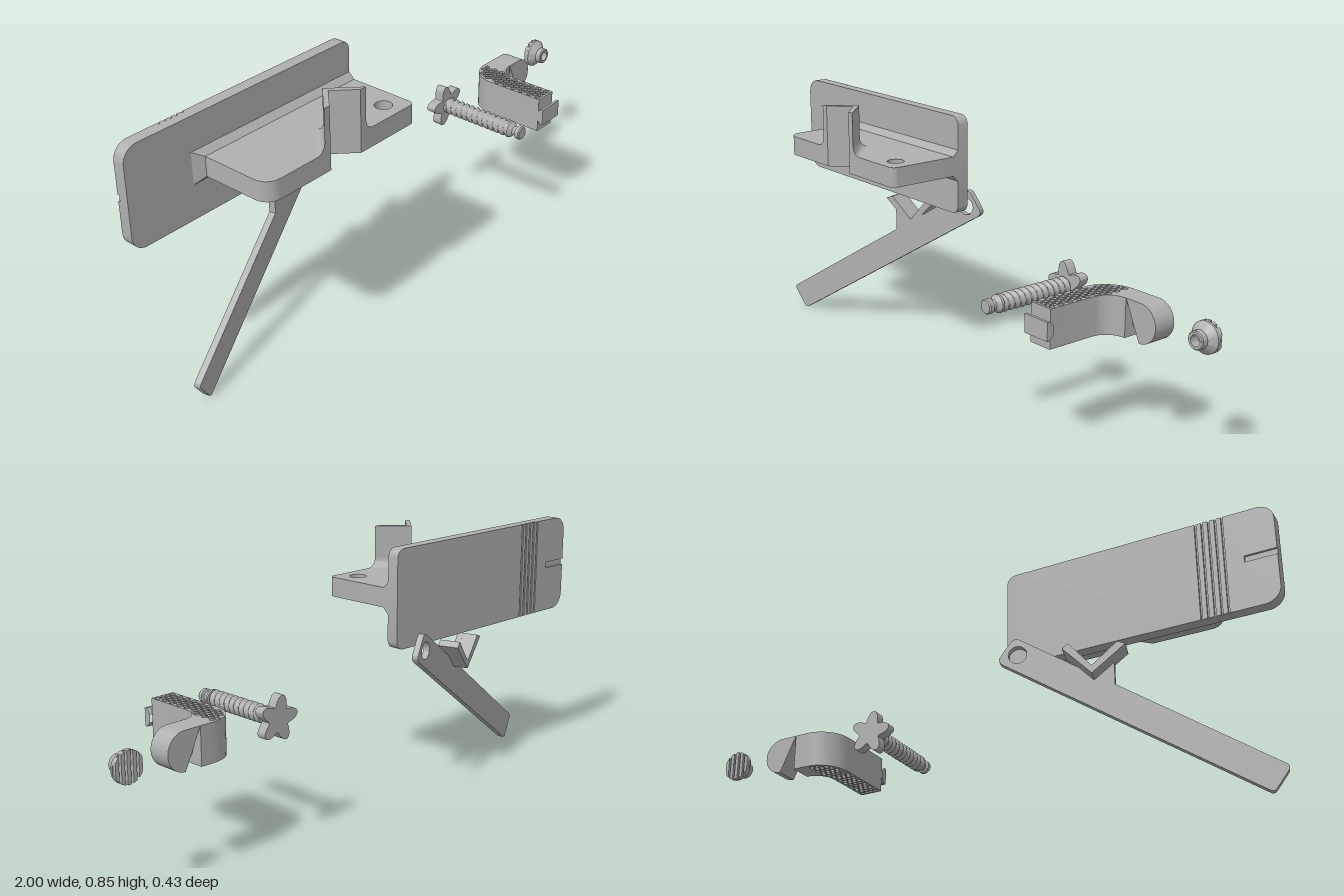
import * as THREE from 'three';
import { toCreasedNormals } from 'three/addons/utils/BufferGeometryUtils.js';

const grey = new THREE.MeshStandardMaterial({ color: 0xb0b0b0 });
grey.name = 'greyPlastic';

function part(parent, name, geometry) {
  const mesh = new THREE.Mesh(geometry, grey);
  mesh.name = name;
  parent.add(mesh);
  return mesh;
}

// Closed outline from [x, y, cornerRadius] points
function outline(points) {
  const shape = new THREE.Shape();
  const n = points.length;
  points.forEach(([x, y, r = 0], i) => {
    const p = new THREE.Vector2(x, y);
    const toward = (q, d) => p.clone().add(new THREE.Vector2(q[0] - x, q[1] - y).setLength(d));
    const prev = points[(i + n - 1) % n], next = points[(i + 1) % n];
    const a = r ? toward(prev, r) : p;
    if (i === 0) shape.moveTo(a.x, a.y); else shape.lineTo(a.x, a.y);
    if (r) {
      const b = toward(next, r), c = toward(prev, r * 0.448), d = toward(next, r * 0.448);
      shape.bezierCurveTo(c.x, c.y, d.x, d.y, b.x, b.y);
    }
  });
  shape.closePath();
  return shape;
}

function circleHole(x, y, r) {
  return new THREE.Path().absarc(x, y, r, 0, Math.PI * 2, true);
}

// Extrude along z from z0 to z1
function extrudeZ(shape, z0, z1) {
  const g = new THREE.ExtrudeGeometry(shape, { depth: z1 - z0, bevelEnabled: false, curveSegments: 10 });
  return toCreasedNormals(g.translate(0, 0, z0), 0.6);
}

// Extrude upward from y0 to y1; the outline is drawn in (x, -z)
function extrudeY(shape, y0, y1) {
  return extrudeZ(shape, y0, y1).rotateX(-Math.PI / 2);
}

// Turned part along z from [radius, z] points
function turned(profile) {
  const g = new THREE.LatheGeometry(profile.map(([r, z]) => new THREE.Vector2(r, z)), 32);
  return toCreasedNormals(g.rotateX(Math.PI / 2), 0.5);
}

// Side walls between successive closed rings
function loft(rings) {
  const pos = [];
  for (let k = 0; k + 1 < rings.length; k++) {
    const lo = rings[k], hi = rings[k + 1], n = lo.length;
    for (let i = 0; i < n; i++) {
      const j = (i + 1) % n;
      pos.push(...lo[i], ...lo[j], ...hi[j], ...lo[i], ...hi[j], ...hi[i]);
    }
  }
  const g = new THREE.BufferGeometry();
  g.setAttribute('position', new THREE.Float32BufferAttribute(pos, 3));
  g.computeVertexNormals();
  return toCreasedNormals(g, 0.5);
}

function makeHolder() {
  const g = new THREE.Group();
  g.name = 'plateHolder';
  const L = -1, R = -0.113, B = 0.515, T = 0.843;
  part(g, 'plate', extrudeZ(outline([[L, B, 0.05], [R, B, 0.03], [R, T, 0.03], [L, T, 0.05]]), -0.131, -0.098));

  // Back skin, split so that five grooves and an end slot remain
  const back = (name, pts) => part(g, name, extrudeZ(outline(pts), -0.138, -0.131));
  const pitch = 0.021, first = -0.757, w = 0.003;
  back('backFace', [[first + w, B], [R, B, 0.03], [R, T, 0.03], [first + w, T]]);
  for (let i = 0; i < 4; i++) {
    const x1 = first - i * pitch - w, x0 = x1 - pitch + 2 * w;
    back('backRib', [[x0, B], [x1, B], [x1, T], [x0, T]]);
  }
  const e = first - 4 * pitch - w;
  back('backEnd', [[L, B, 0.05], [e, B], [e, T], [L, T, 0.05], [L, 0.69], [-0.9, 0.69], [-0.9, 0.669], [L, 0.669]]);

  // Shelf with V notch and bolt hole
  const F = -0.165, cx = -0.42;
  const notch = [[cx - 0.064, F], [cx, F + 0.064], [cx + 0.064, F]];
  const shelf = outline([[-0.735, 0.1], [-0.735, F, 0.05], ...notch, [R, F, 0.02], [R, 0.1]]);
  shelf.holes.push(circleHole(-0.184, -0.102, 0.028));
  part(g, 'shelf', extrudeY(shelf, 0.648, 0.713));

  // Chamfered joint between shelf and plate
  const rect = (x0, y0, y1, z) => [[x0, y0, z], [R, y0, z], [R, y1, z], [x0, y1, z]];
  part(g, 'shelfChamfer', loft([rect(-0.772, 0.626, 0.735, -0.1), rect(-0.735, 0.648, 0.713, -0.078)]));

  // V-shaped post with a flared foot
  const vee = (o) => [[cx - 0.087 - o, F], ...notch, [cx + 0.087 + o, F], [cx, F + 0.087 + o]];
  part(g, 'veePost', extrudeY(outline(vee(0)), 0.705, 0.854));
  const rings = [];
  for (let i = 0; i <= 6; i++) {
    const a = (i / 6) * Math.PI / 2, r = 0.032;
    rings.push(vee(r * (1 - Math.sin(a))).map(([x, v]) => [x, 0.713 + r * (1 - Math.cos(a)), -v]));
  }
  part(g, 'postFillet', loft(rings));
  return g;
}

function makeLever() {
  const g = new THREE.Group();
  g.name = 'lever';
  const angle = 0.287, x0 = -0.93;
  // Outlines are given in frontal x and stretched into the turned plane
  const flat = (pts) => outline(pts.map(([x, y, r]) => [(x - x0) / Math.cos(angle), y, r]));
  const bar = flat([[-0.93, 0.076, 0.015], [-0.878, 0, 0.012], [-0.112, 0.497, 0.02], [-0.165, 0.577, 0.02]]);
  bar.holes.push(circleHole((-0.175 - x0) / Math.cos(angle), 0.515, 0.029));
  part(g, 'leverBar', extrudeZ(bar, -0.021, 0));
  part(g, 'jawWeb', extrudeZ(flat([[-0.46, 0.37], [-0.39, 0.415], [-0.40, 0.428], [-0.46, 0.488]]), -0.021, 0));
  // V jaw standing out behind the bar
  part(g, 'veeJaw', extrudeZ(flat([
    [-0.40, 0.404], [-0.315, 0.495], [-0.333, 0.511], [-0.40, 0.43], [-0.475, 0.502], [-0.5, 0.492],
  ]), -0.07, 0));
  g.position.set(x0, 0, 0.042);
  g.rotation.y = angle;
  return g;
}

function makeKnobScrew() {
  const g = new THREE.Group();
  g.name = 'knobScrew';
  const star = [];
  for (let i = 0; i < 80; i++) {
    const t = (i / 80) * Math.PI * 2;
    const r = 0.04 + 0.034 * Math.pow((1 + Math.cos(5 * (t - 0.52))) / 2, 0.9);
    star.push(new THREE.Vector2(r * Math.cos(t), r * Math.sin(t)));
  }
  part(g, 'starKnob', extrudeZ(new THREE.Shape(star), -0.138, -0.105));

  // Helical thread: radius follows the turn
  const turns = 12, len = 0.268;
  const thread = new THREE.CylinderGeometry(1, 1, len, 24, turns * 6, true);
  const p = thread.attributes.position;
  for (let i = 0; i < p.count; i++) {
    const x = p.getX(i), z = p.getZ(i);
    const f = (p.getY(i) / len) * turns - Math.atan2(x, z) / (Math.PI * 2) + 100;
    const r = 0.021 + 0.009 * Math.abs(2 * (f % 1) - 1);
    p.setXYZ(i, x * r, p.getY(i), z * r);
  }
  thread.computeVertexNormals();
  part(g, 'thread', thread.rotateX(Math.PI / 2).translate(0, 0, len / 2 - 0.106));
  part(g, 'screwTip', turned([[0, 0.15], [0.028, 0.158], [0.028, 0.166], [0.016, 0.178],
    [0.016, 0.19], [0.023, 0.193], [0.023, 0.206], [0.02, 0.21], [0, 0.21]]));
  g.position.set(0.4, 0.406, 0);
  return g;
}

function makeBracket() {
  const g = new THREE.Group();
  g.name = 'clampBracket';
  const y0 = 0.335, y1 = 0.457, yc = 0.396, xl = 0.553, xr = 0.634, zb = -0.138, za = -0.062;
  // Leg and bend, pierced by a honeycomb
  const leg = outline([[xl, -zb, 0.1], [xl, -0.168], [xr, -0.168], [xr, -za, 0.064], [0.7, -za], [0.7, -zb]]);
  const s = 0.0195, hexR = 0.0095, m = 0.013;
  for (let row = 0; row < 20; row++) {
    const z = 0.152 - row * s * 0.866;
    for (let k = 0; k < 6; k++) {
      const x = xl + m + (k + (row % 2) / 2) * s * 0.95;
      const outer = x < 0.653 && z < -0.038 && Math.hypot(x - 0.653, z + 0.038) > 0.1 - m;
      const inner = z > 0 ? x > xr - m + 0.003 : Math.hypot(x - 0.698, z - 0.002) < 0.064 + m - 0.003;
      if (z < zb + m || x > 0.645 || outer || inner) continue;
      const hex = new THREE.Path();
      for (let c = 0; c < 6; c++) {
        const a = Math.PI / 6 - (c * Math.PI) / 3;
        hex[c ? 'lineTo' : 'moveTo'](x + hexR * Math.cos(a), -z + hexR * Math.sin(a));
      }
      hex.closePath();
      leg.holes.push(hex);
    }
  }
  part(g, 'honeycombLeg', extrudeY(leg, y0, y1));

  // Rounded arm with screw hole
  const arm = new THREE.Shape();
  arm.moveTo(0.7, y0);
  arm.absarc(0.757, yc, 0.061, -Math.PI / 2, Math.PI / 2, false);
  arm.lineTo(0.7, y1);
  arm.closePath();
  arm.holes.push(circleHole(0.757, yc, 0.029));
  part(g, 'arm', extrudeZ(arm, zb, za));

  // Dovetail foot along x
  const foot = (z, h) => [[0.549, yc - h, z], [0.645, yc - h, z], [0.645, yc + h, z], [0.549, yc + h, z]];
  part(g, 'dovetailFoot', loft([foot(0.165, 0.012), foot(0.18, 0.029), foot(0.189, 0.029), foot(0.189, 0)]));
  return g;
}

function makeCap() {
  const g = new THREE.Group();
  g.name = 'swivelCap';
  part(g, 'capBody', turned([[0, -0.127], [0.049, -0.127], [0.049, -0.12], [0.028, -0.1],
    [0.028, -0.083], [0.025, -0.08], [0.017, -0.08], [0.017, -0.11], [0, -0.11]]));
  // Grip ribs across the back
  const R = 0.049, pitch = 0.0195;
  for (let i = -2; i <= 2; i++) {
    const low = [], high = [];
    for (let k = 0; k <= 4; k++) {
      const x = i * pitch - 0.006 + k * 0.003, y = Math.sqrt(Math.max(R * R - x * x, 1e-5));
      low.push([x, -y]);
      high.unshift([x, y]);
    }
    part(g, 'gripRib', extrudeZ(outline([...low, ...high]), -0.138, -0.126));
  }
  g.position.set(0.948, 0.398, 0);
  return g;
}

export function createModel() {
  const model = new THREE.Group();
  model.name = 'clampKit';
  model.add(makeHolder(), makeLever(), makeKnobScrew(), makeBracket(), makeCap());
  return model;
}
